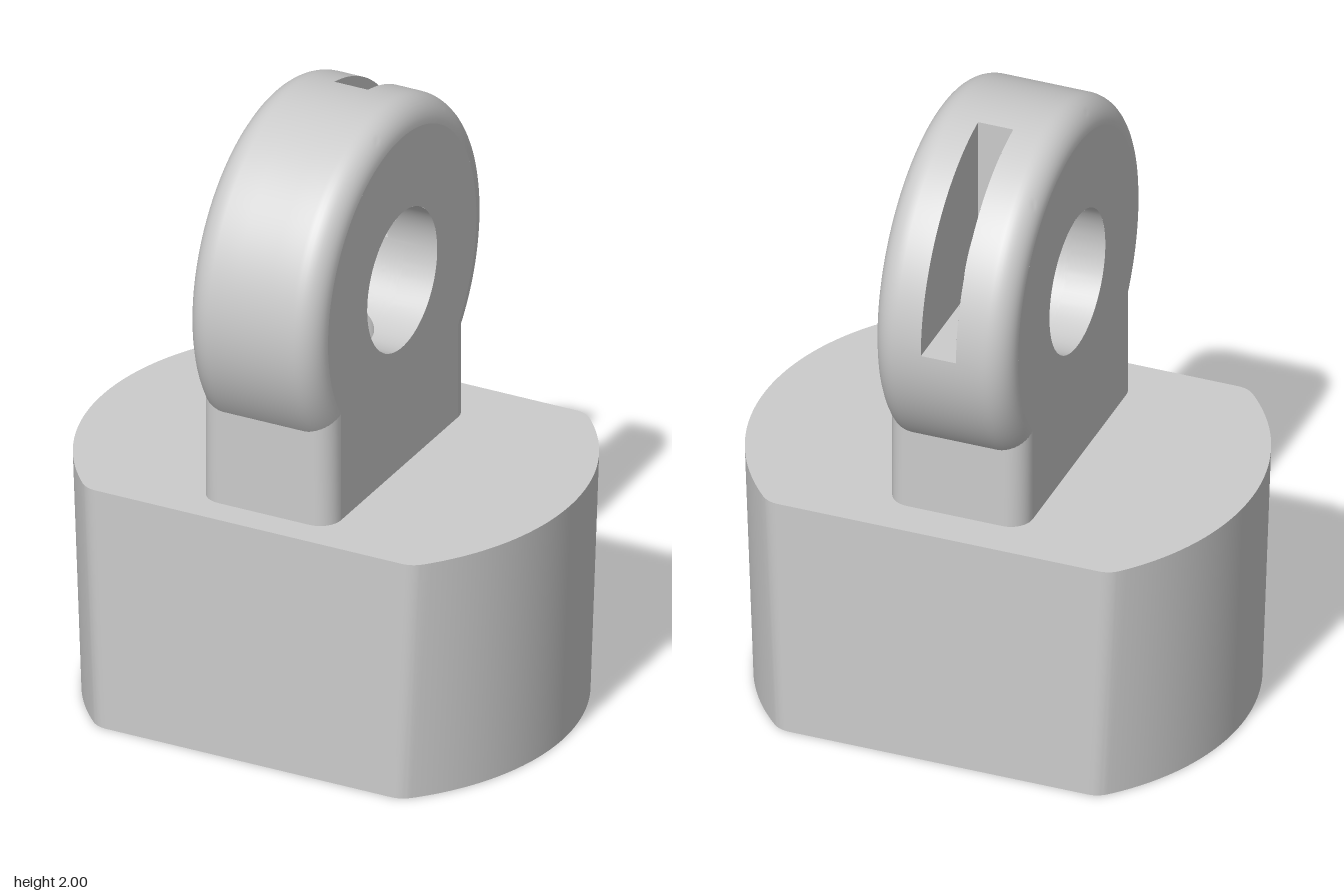
import * as THREE from 'three';
import { mergeGeometries, toCreasedNormals } from 'three/addons/utils/BufferGeometryUtils.js';

const CY = 1.432, R = 0.568;        // eye centre height and outer radius
const BORE = 0.228, HOLE = 0.115;   // cross bore and vertical hole radii
const HALF = 0.225, ROUND = 0.085;  // eye half width and rim rounding
const SLOT = 0.057, SLOT_Z = -0.1;  // slot half width and end wall
const FRONT = 0.47, BACK = -0.435, NECK_R = 0.07, BASE_H = 0.8;
const PI = Math.PI;

// Surface from a point function over columns i (0..nu) and rows j (0..nv)
function grid(nu, nv, point) {
  const pos = [], index = [];
  for (let i = 0; i <= nu; i++) for (let j = 0; j <= nv; j++) pos.push(...point(i, j));
  for (let i = 0; i < nu; i++) for (let j = 0; j < nv; j++) {
    const a = i * (nv + 1) + j, b = a + nv + 1;
    index.push(a, b, a + 1, b, b + 1, a + 1);
  }
  const g = new THREE.BufferGeometry();
  g.setAttribute('position', new THREE.Float32BufferAttribute(pos, 3));
  g.setIndex(index);
  return g.toNonIndexed();
}

// Flat face from a shape, reduced to plain positions
function face(shape) {
  const g = new THREE.ShapeGeometry(shape, 64).toNonIndexed();
  g.deleteAttribute('uv');
  g.deleteAttribute('normal');
  return g;
}
// Shape drawn in (z, y), set at a given x
const sideFace = (shape, x) => face(shape).rotateY(-PI / 2).translate(x, 0, 0);

// Strip around the eye axis; cols are [x, radius], angles may depend on x
function strip(cols, from, to, n) {
  return grid(cols.length - 1, n, (i, j) => {
    const [x, r] = cols[i];
    const t = from(x) + (to(x) - from(x)) * j / n;
    return [x, CY + r * Math.sin(t), r * Math.cos(t)];
  });
}
const fixed = (v) => () => v;

// Base outline: circle cut by two flats, corners rounded
function baseOutline(r) {
  const f = 0.08, cz = R - f, cx = Math.sqrt((r - f) ** 2 - cz ** 2), a = Math.atan2(cz, cx);
  const pts = [];
  const quarter = [];
  for (let i = 0; i <= 24; i++) quarter.push([r * Math.cos(a * i / 24), r * Math.sin(a * i / 24)]);
  for (let i = 1; i <= 8; i++) {
    const t = a + (PI / 2 - a) * i / 8;
    quarter.push([cx + f * Math.cos(t), cz + f * Math.sin(t)]);
  }
  const back = [...quarter].reverse();
  pts.push(...quarter, ...back.map(([x, z]) => [-x, z]));
  pts.push(...quarter.slice(1).map(([x, z]) => [-x, -z]), ...back.map(([x, z]) => [x, -z]));
  return pts;
}

function baseGeometry() {
  const top = baseOutline(0.793), bottom = baseOutline(0.767);
  const wall = grid(top.length - 1, 1, (i, j) => {
    const [x, z] = j ? top[i] : bottom[i];
    return [x, j * BASE_H, z];
  });
  const cap = (pts, y) => {
    const s = new THREE.Shape(pts.slice(0, -1).map((p) => new THREE.Vector2(...p)));
    s.holes.push(new THREE.Path().absarc(0, 0, HOLE, 0, PI * 2));
    return face(s).rotateX(y ? -PI / 2 : PI / 2).translate(0, y, 0);
  };
  return [wall, cap(top, BASE_H), cap(bottom, 0)];
}

// Outer rim with rounded edges, left open at the slot
function rimGeometry() {
  const right = [[SLOT, R]];
  for (let i = 0; i <= 10; i++) {
    const t = PI / 2 * i / 10;
    right.push([HALF - ROUND + ROUND * Math.sin(t), R - ROUND + ROUND * Math.cos(t)]);
  }
  const left = right.map(([x, r]) => [-x, r]).reverse();
  const t1 = Math.acos(SLOT_Z / R);
  const all = [...left, ...right];
  return [
    strip(all, fixed(-0.9), fixed(t1), 64),
    strip(left, fixed(t1), fixed(PI), 36),
    strip(right, fixed(t1), fixed(PI), 36),
    strip(all, fixed(PI), fixed(PI + 1), 24),
  ];
}

// Cross bore, open where the slot and the vertical hole break through
function boreGeometry() {
  const gap = (x) => Math.asin(Math.sqrt(Math.max(0, HOLE ** 2 - x * x)) / BORE);
  const all = [[-HALF, BORE]];
  for (let i = 0; i <= 32; i++) all.push([HOLE * Math.sin(PI * (i / 32 - 0.5)), BORE]);
  all.push([HALF, BORE]);
  const t1 = Math.acos(SLOT_Z / BORE);
  return [
    strip(all, (x) => -PI / 2 + gap(x), fixed(t1), 48),
    strip([[-HALF, BORE], [-SLOT, BORE]], fixed(t1), fixed(PI), 16),
    strip([[SLOT, BORE], [HALF, BORE]], fixed(t1), fixed(PI), 16),
    strip(all, fixed(PI), (x) => PI * 1.5 - gap(x), 24),
  ];
}

// Flat side of eye and neck
function cheek(x) {
  const r = R - ROUND, zf = FRONT - NECK_R, zb = BACK + NECK_R;
  const s = new THREE.Shape();
  s.moveTo(zb, BASE_H);
  s.lineTo(zf, BASE_H);
  s.absarc(0, CY, r, -Math.acos(zf / r), PI + Math.acos(-zb / r), false);
  s.closePath();
  s.holes.push(new THREE.Path().absarc(0, CY, BORE, 0, PI * 2, true));
  return sideFace(s, x);
}

// Neck end wall with rounded vertical corners
function neckEnd(z, dir) {
  const pts = [];
  for (const side of [-1, 1]) for (let i = 0; i <= 8; i++) {
    const t = PI / 2 * (side < 0 ? i : 8 - i) / 8;
    pts.push([side * (HALF - NECK_R + NECK_R * Math.cos(t)), z - dir * NECK_R * (1 - Math.sin(t))]);
  }
  return grid(pts.length - 1, 1, (i, j) => [pts[i][0], j ? 1.16 : BASE_H, pts[i][1]]);
}

// Slot cheeks, floor and end wall
function slotGeometry() {
  const s = new THREE.Shape();
  s.absarc(0, CY, R, Math.acos(SLOT_Z / R), PI, false);
  s.absarc(0, CY, BORE, PI, Math.acos(SLOT_Z / BORE), true);
  s.closePath();
  const rise = (r) => CY + Math.sqrt(r * r - SLOT_Z ** 2);
  const x = (i) => (i ? SLOT : -SLOT);
  return [
    sideFace(s, -SLOT),
    sideFace(s, SLOT),
    grid(1, 1, (i, j) => [x(i), CY, j ? -R : -BORE]),
    grid(1, 1, (i, j) => [x(i), rise(j ? R : BORE), SLOT_Z]),
  ];
}

// Vertical hole from the underside up to the bore
function holeGeometry() {
  return [grid(64, 1, (i, j) => {
    const t = PI * 2 * i / 64, z = HOLE * Math.sin(t);
    return [HOLE * Math.cos(t), j ? CY - Math.sqrt(BORE ** 2 - z * z) : 0, z];
  })];
}

export function createModel() {
  const group = new THREE.Group();
  const material = new THREE.MeshStandardMaterial({ color: 0xcccccc, side: THREE.DoubleSide });
  const add = (name, parts) => {
    const mesh = new THREE.Mesh(toCreasedNormals(mergeGeometries(parts), 0.6), material);
    mesh.name = name;
    group.add(mesh);
  };
  add('base', baseGeometry());
  add('neckEnds', [neckEnd(FRONT, 1), neckEnd(BACK, -1)]);
  add('eyeSides', [cheek(-HALF), cheek(HALF)]);
  add('eyeRim', rimGeometry());
  add('crossBore', boreGeometry());
  add('slot', slotGeometry());
  add('verticalHole', holeGeometry());
  return group;
}
